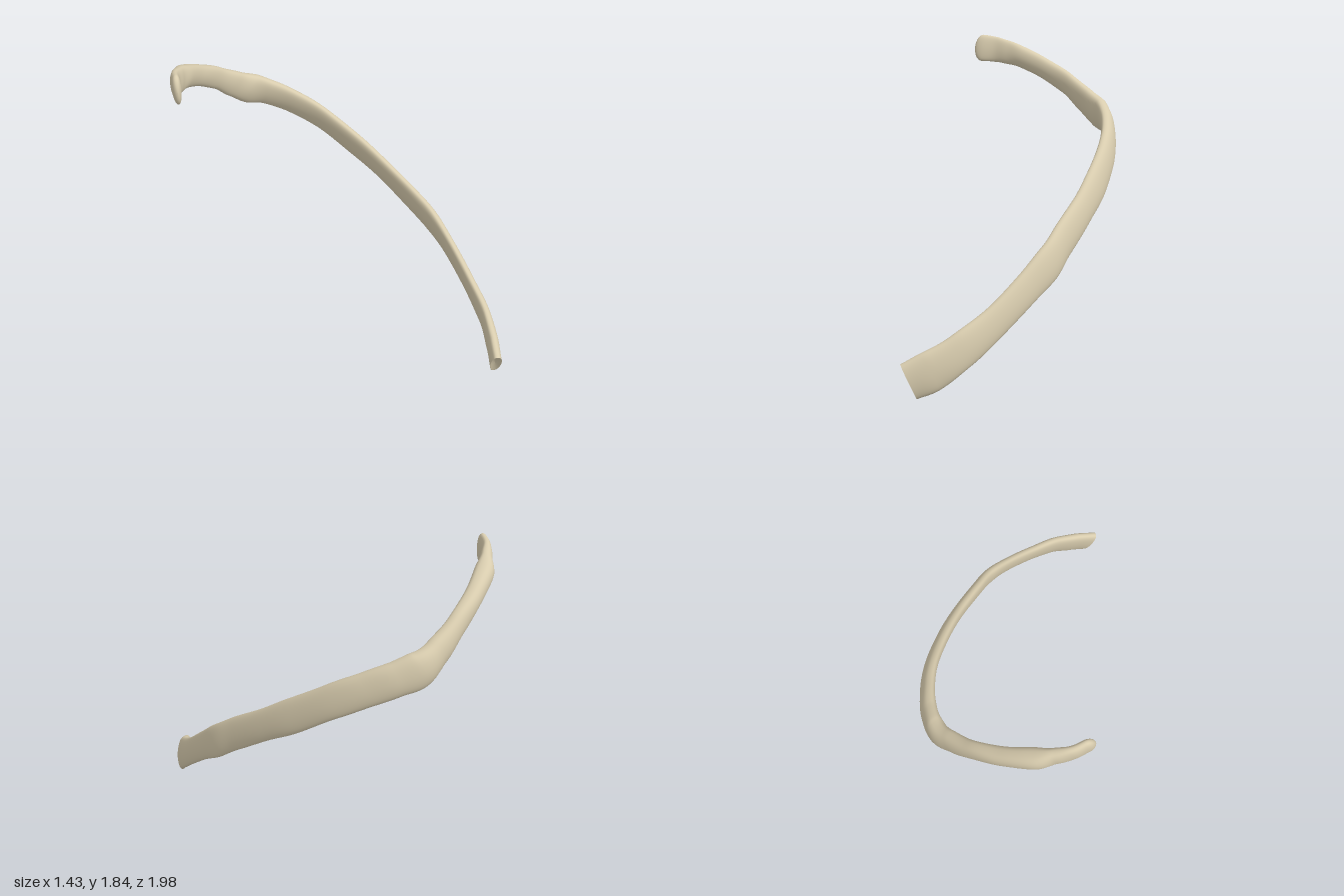
import * as THREE from 'three';

// Stations from the front end to the head:
// x, y, z of the centre, vertical height, thickness, inward lean of the upper edge
const STATIONS = [
  [0.478, 0.110, 0.950, 0.225, 0.075, 0.05],
  [0.548, 0.168, 0.840, 0.245, 0.080, 0.10],
  [0.610, 0.258, 0.700, 0.225, 0.075, 0.15],
  [0.650, 0.385, 0.500, 0.200, 0.070, 0.18],
  [0.667, 0.532, 0.290, 0.205, 0.070, 0.20],
  [0.660, 0.645, 0.120, 0.228, 0.078, 0.20],
  [0.622, 0.750, -0.030, 0.218, 0.076, 0.20],
  [0.558, 0.890, -0.250, 0.205, 0.076, 0.22],
  [0.482, 1.012, -0.440, 0.220, 0.080, 0.25],
  [0.372, 1.152, -0.640, 0.208, 0.082, 0.25],
  [0.252, 1.250, -0.785, 0.200, 0.088, 0.22],
  [0.130, 1.320, -0.885, 0.200, 0.100, 0.18],
  [0.015, 1.368, -0.932, 0.222, 0.118, 0.10],
  [-0.100, 1.442, -0.929, 0.198, 0.105, 0.08],
  [-0.235, 1.540, -0.903, 0.162, 0.094, 0.05],
  [-0.390, 1.635, -0.842, 0.145, 0.105, 0],
  [-0.525, 1.708, -0.762, 0.148, 0.118, 0],
  [-0.605, 1.742, -0.690, 0.160, 0.078, 0],
  [-0.660, 1.760, -0.628, 0.170, 0.062, 0],
  [-0.693, 1.769, -0.560, 0.175, 0.058, 0],
];
const SIDES = 32;
const STEPS = 152;
const UP = new THREE.Vector3(0, 1, 0);

// Smooth interpolation of one station column
function column(k, t) {
  const f = t * (STATIONS.length - 1);
  const i = Math.min(Math.floor(f), STATIONS.length - 2);
  return THREE.MathUtils.lerp(STATIONS[i][k], STATIONS[i + 1][k], THREE.MathUtils.smoothstep(f - i, 0, 1));
}

function createBoneGeometry() {
  const path = new THREE.CatmullRomCurve3(STATIONS.map(([x, y, z]) => new THREE.Vector3(x, y, z)), false, 'catmullrom', 0.5);
  const positions = [];
  const indices = [];
  let rings = 0;

  // One rounded, flattened section; scale and shift shape the two ends
  function addRing(t, scale = 1, shift = 0) {
    const tangent = path.getTangent(t);
    const side = new THREE.Vector3().crossVectors(tangent, UP).normalize();
    const up = new THREE.Vector3().crossVectors(side, tangent).normalize();
    const centre = path.getPoint(t).addScaledVector(tangent, shift);
    const h = column(3, t) * Math.hypot(tangent.x, tangent.z) * scale / 2;
    const w = column(4, t) * scale / 2;
    const lean = column(5, t);
    for (let j = 0; j < SIDES; j++) {
      const a = j / SIDES * Math.PI * 2;
      const c = Math.cos(a), s = Math.sin(a);
      const v = Math.sign(s) * Math.abs(s) ** 0.85 * h;
      // The lower edge is thinner, and the inner face a little hollow
      let u = Math.sign(c) * Math.abs(c) ** 0.85 * w * (s < 0 ? 1 + 0.2 * s : 1);
      if (c < 0) u += w * 0.15 * c * c;
      u -= lean * v;
      const p = centre.clone().addScaledVector(side, u).addScaledVector(up, v);
      positions.push(p.x, p.y, p.z);
    }
    return rings++;
  }

  function join(a, b) {
    for (let j = 0; j < SIDES; j++) {
      const k = (j + 1) % SIDES;
      const a0 = a * SIDES + j, a1 = a * SIDES + k, b0 = b * SIDES + j, b1 = b * SIDES + k;
      indices.push(a0, b0, a1, a1, b0, b1);
    }
  }

  // Hollowed front end with a crisp rim
  let last = addRing(0, 0.001, 0.012);
  for (const [scale, shift] of [[0.6, 0.008], [0.9, 0], [1, 0]]) {
    const ring = addRing(0, scale, shift);
    join(last, ring);
    last = ring;
  }

  // Shaft, starting from its own copy of the rim
  last = addRing(0);
  for (let i = 1; i <= STEPS; i++) {
    const ring = addRing(i / STEPS);
    join(last, ring);
    last = ring;
  }

  // Rounded head
  for (let i = 1; i <= 8; i++) {
    const a = i / 8 * Math.PI / 2;
    const ring = addRing(1, Math.max(Math.cos(a), 0.001), Math.sin(a) * 0.05);
    join(last, ring);
    last = ring;
  }

  const geometry = new THREE.BufferGeometry();
  geometry.setAttribute('position', new THREE.Float32BufferAttribute(positions, 3));
  geometry.setIndex(indices);
  geometry.computeVertexNormals();
  return geometry;
}

export function createModel() {
  const group = new THREE.Group();
  group.name = 'rib';
  const bone = new THREE.MeshStandardMaterial({ color: 0xd8ccae });
  bone.name = 'bone';
  const mesh = new THREE.Mesh(createBoneGeometry(), bone);
  mesh.name = 'ribBone';
  group.add(mesh);
  return group;
}
